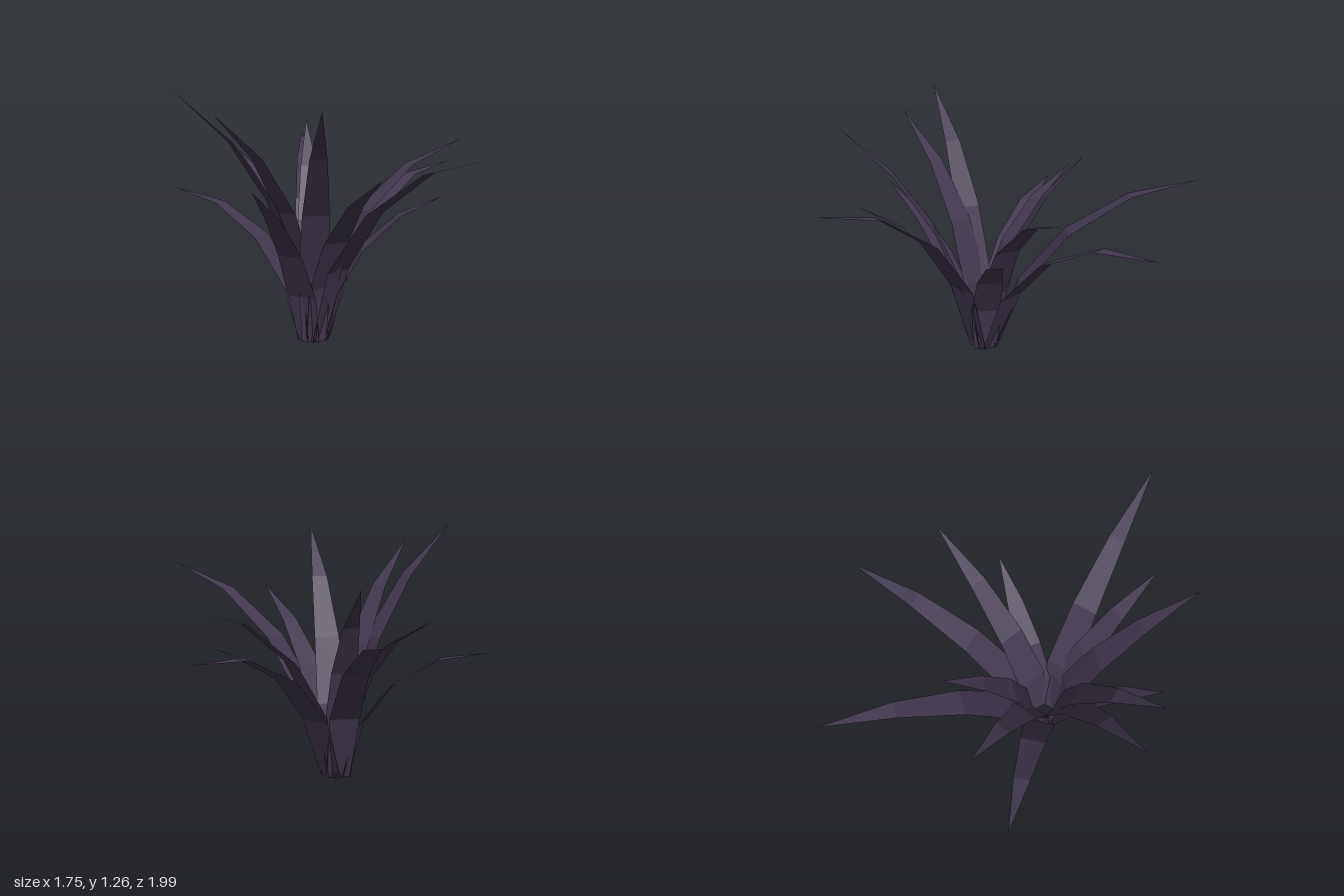
import * as THREE from 'three';

// Centre of the clump on the ground, and how far each blade is rooted from it
const CENTRE = { x: -0.215, z: -0.075 };
const ROOT_RADIUS = 0.05;

// Blade width at each joint, from root to tip
const WIDTHS = [0.12, 0.155, 0.13, 0.082, 0];

// Each blade: tip x, y, z and the bend at each joint in degrees
const BLADES = [
  [0.41, 0.9, -1.0, 18.7],
  [-0.56, 0.71, -0.8, 21],
  [-0.24, 0.885, -0.67, 18.5],
  [0.87, 0.78, -0.25, 20.4],
  [0.62, 0.96, 0.11, 20],
  [0.36, 0.71, 0.26, 18],
  [-0.03, 1.015, 0.99, 18.7],
  [-0.35, 0.9, 0.61, 15],
  [-0.61, 1.21, 0.52, 11.6],
  [-0.73, 0.83, 0.16, 11],
  [-0.82, 1.17, 0.0, 15],
  [-0.88, 1.26, -0.24, 13.6],
  [0.07, 1.045, -0.5, 12.5],
];

// A flat tapering strip of four equal segments that droops by a constant bend
function bladeGeometry(reach, height, bend) {
  const mean = Math.atan2(height, reach);
  const length = Math.hypot(reach, height) / (2 * (Math.cos(bend / 2) + Math.cos(bend * 1.5)));
  const joints = [[0, 0]];
  for (let i = 0; i < 4; i++) {
    const angle = mean + (1.5 - i) * bend;
    const [out, up] = joints[i];
    joints.push([out + length * Math.cos(angle), up + length * Math.sin(angle)]);
  }
  const plane = new THREE.PlaneGeometry(1, 4, 1, 4);
  const p = plane.attributes.position;
  for (let i = 0; i < p.count; i++) {
    const row = Math.round(p.getY(i) + 2);
    const [out, up] = joints[row];
    p.setXYZ(i, p.getX(i) * WIDTHS[row], up, out);
  }
  const geometry = plane.toNonIndexed();
  geometry.computeVertexNormals();
  return geometry;
}

export function createModel() {
  const group = new THREE.Group();
  group.name = 'spikyPlant';
  const leaf = new THREE.MeshStandardMaterial({
    name: 'darkPurpleLeaf', color: 0x43394f, flatShading: true, side: THREE.DoubleSide,
  });

  // Blades fan out around the clump, each turned towards its tip
  BLADES.forEach(([x, y, z, bend], i) => {
    const dx = x - CENTRE.x, dz = z - CENTRE.z;
    const yaw = Math.atan2(dx, dz);
    const reach = Math.hypot(dx, dz) - ROOT_RADIUS;
    const blade = new THREE.Mesh(bladeGeometry(reach, y, THREE.MathUtils.degToRad(bend)), leaf);
    blade.name = `leafBlade${i + 1}`;
    blade.position.set(CENTRE.x + Math.sin(yaw) * ROOT_RADIUS, 0, CENTRE.z + Math.cos(yaw) * ROOT_RADIUS);
    blade.rotation.y = yaw;
    group.add(blade);
  });
  return group;
}
